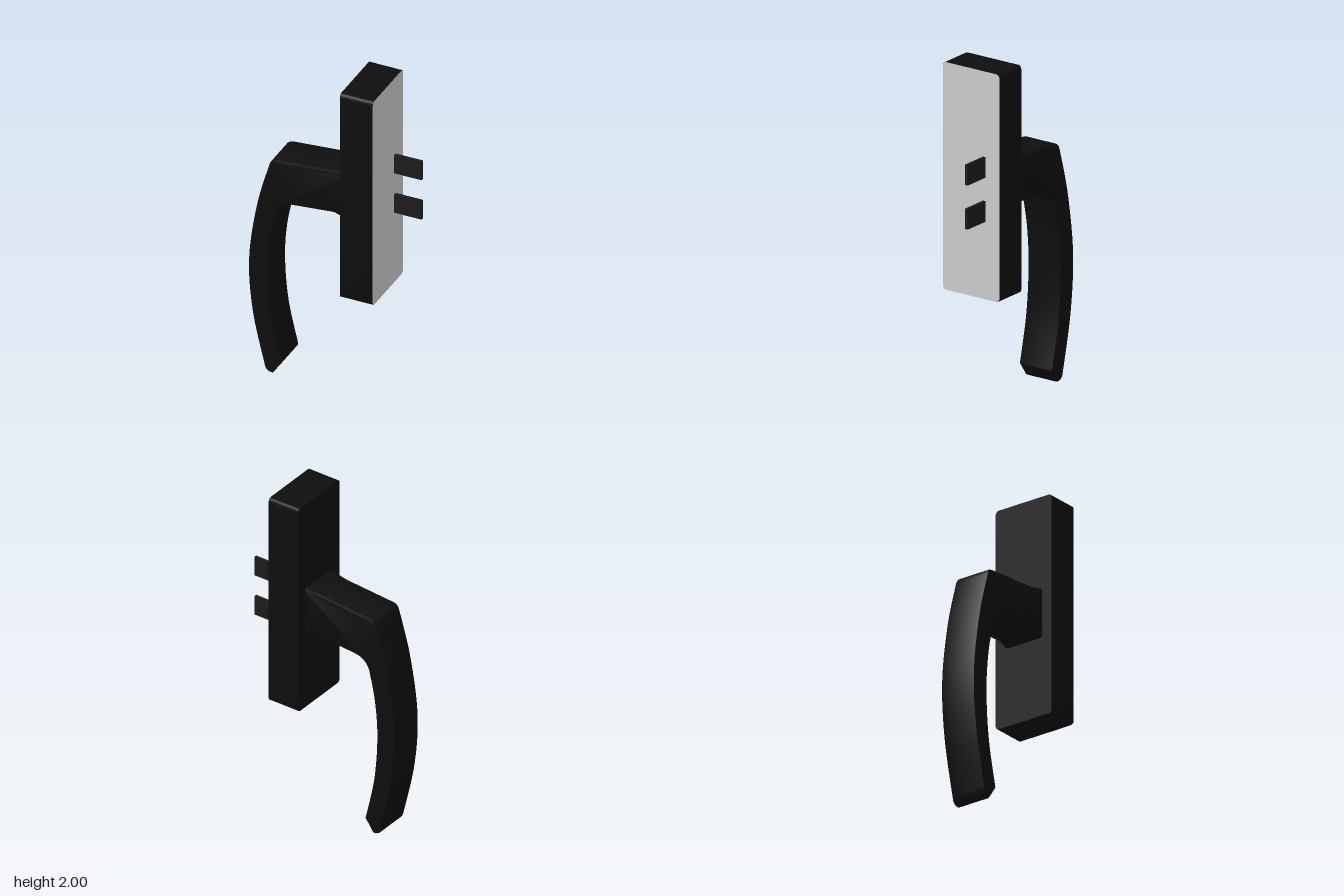
import * as THREE from 'three';
import { toCreasedNormals } from 'three/addons/utils/BufferGeometryUtils.js';

const black = new THREE.MeshStandardMaterial({ color: 0x0e0e0e });
const darkSteel = new THREE.MeshStandardMaterial({ color: 0x1b1b1b });
const grey = new THREE.MeshStandardMaterial({ color: 0xcccccc });

const PLATE = { back: 0.315, front: 0.115, bottom: 0.667, top: 2, halfWidth: 0.195 };

function addMesh(group, name, geometry, material) {
  const mesh = new THREE.Mesh(geometry, material);
  mesh.name = name;
  group.add(mesh);
  return mesh;
}

// Upright rectangle with rounded corners, as wide and tall as the plate
function plateShape(r) {
  const { halfWidth: w, bottom: b, top: t } = PLATE;
  const s = new THREE.Shape();
  s.moveTo(-w + r, b);
  s.lineTo(w - r, b);
  s.absarc(w - r, b + r, r, -Math.PI / 2, 0);
  s.lineTo(w, t - r);
  s.absarc(w - r, t - r, r, 0, Math.PI / 2);
  s.lineTo(-w + r, t);
  s.absarc(-w + r, t - r, r, Math.PI / 2, Math.PI);
  s.lineTo(-w, b + r);
  s.absarc(-w + r, b + r, r, Math.PI, Math.PI * 1.5);
  return s;
}

// Side outline of the lever: neck, bend and curved grip
function leverShape() {
  const v = (x, y) => new THREE.Vector2(x, y);
  const s = new THREE.Shape();
  s.moveTo(0.135, 1.449);
  s.lineTo(0.115, 1.445);
  s.lineTo(0.04, 1.43);
  s.lineTo(-0.315, 1.402);
  s.quadraticCurveTo(-0.345, 1.4, -0.358, 1.365);
  s.splineThru([v(-0.435, 1.08), v(-0.484, 0.72), v(-0.462, 0.38), v(-0.385, 0.03)]);
  s.quadraticCurveTo(-0.375, 0.002, -0.338, 0.002);
  s.lineTo(-0.282, 0.083);
  s.splineThru([v(-0.342, 0.36), v(-0.363, 0.64), v(-0.347, 0.87), v(-0.308, 1.06)]);
  s.quadraticCurveTo(-0.285, 1.128, -0.215, 1.134);
  s.lineTo(0.04, 1.157);
  s.lineTo(0.115, 1.142);
  s.lineTo(0.135, 1.138);
  return s;
}

function leverGeometry() {
  const half = 0.114, bevel = 0.012;
  const geo = new THREE.ExtrudeGeometry(leverShape(), {
    depth: 2 * (half - bevel), curveSegments: 6,
    bevelThickness: bevel, bevelSize: bevel, bevelOffset: -bevel, bevelSegments: 2,
  });
  geo.translate(0, 0, -(half - bevel));
  // The neck widens where it meets the plate
  const p = geo.attributes.position;
  for (let i = 0; i < p.count; i++) {
    const flare = Math.max(0, p.getX(i) - 0.045) / 0.07;
    p.setZ(i, p.getZ(i) * (1 + 0.11 * flare));
  }
  return toCreasedNormals(geo, 0.6);
}

export function createModel() {
  const model = new THREE.Group();
  model.name = 'windowHandle';

  // Mounting plate
  const plate = new THREE.ExtrudeGeometry(plateShape(0.022), {
    depth: PLATE.back - PLATE.front, bevelEnabled: false, curveSegments: 5,
  });
  plate.rotateY(Math.PI / 2).translate(PLATE.front, 0, 0);
  addMesh(model, 'mountingPlate', toCreasedNormals(plate, 0.6), black);

  // Grey face on the mounting side
  const face = new THREE.ShapeGeometry(plateShape(0.026), 5);
  face.rotateY(Math.PI / 2).translate(PLATE.back + 0.0015, 0, 0);
  addMesh(model, 'mountingFace', face, grey);

  // Lever
  addMesh(model, 'lever', leverGeometry(), black);

  // Two flat drive tabs
  for (const [name, y] of [['upperTab', 1.44], ['lowerTab', 1.182]]) {
    addMesh(model, name, new THREE.BoxGeometry(0.185, 0.12, 0.018), darkSteel)
      .position.set(0.3915, y, -0.09);
  }
  return model;
}
